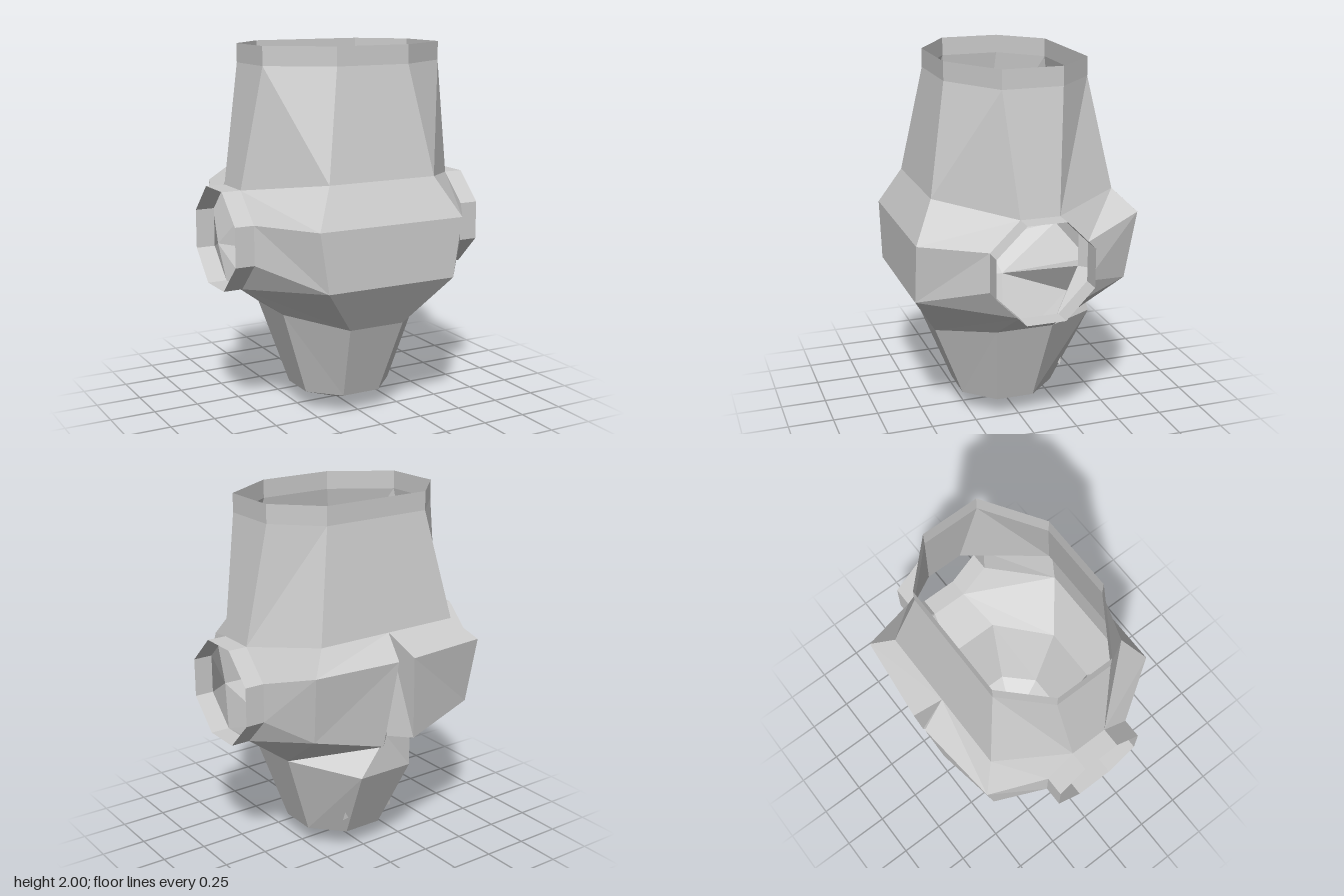
import * as THREE from 'three';

const material = new THREE.MeshStandardMaterial({ color: 0xcccccc, flatShading: true, side: THREE.DoubleSide });

// Named corners of the +x half; a name ending in "_" means the same corner moved to x = 0.
const P = {
  // brow, front panel and chin line
  A: [0.31, 1.32, 0.5], B: [0.42, 1.11, 0.61], C: [0.37, 0.79, 0.61], D: [0.16, 0.53, 0.45],
  // back edge, back plate and notch floor
  E: [0.42, 1.32, -0.45], O1: [0.525, 1.21, -0.555], I1: [0.05, 1.215, -0.605],
  I2: [0.1, 0.74, -0.55], O2: [0.5, 0.845, -0.5], N: [0, 0.74, -0.445],
  // lower body
  S1: [0.42, 0.585, 0.185], S2: [0.42, 0.585, -0.13], G: [0.16, 0.53, -0.445],
  K1: [0.11, 0.11, 0.285], K2: [0.26, 0.11, 0.13], K3: [0.26, 0.11, -0.08], K4: [0.11, 0.11, -0.24],
  tip: [0, 0, 0.02],
};

// collar corners at two heights
for (const [n, y] of [['u', 2], ['v', 1.9]]) {
  [[0.21, 0.395], [0.525, 0.19], [0.525, -0.13], [0.31, -0.345]].forEach(([x, z], i) => {
    P[n + i] = [x, y, z];
  });
}

// octagonal side opening: T = inner edge, R = outer edge, from the top front corner round the front
const octagon = [[0.13, 1.265], [0.29, 1.11], [0.29, 0.9], [0.13, 0.74],
  [-0.08, 0.74], [-0.235, 0.9], [-0.235, 1.11], [-0.08, 1.265]];
octagon.forEach(([z, y], i) => {
  P['T' + (i + 1)] = [0.63, y, z];
  P['R' + (i + 1)] = [0.735, y, z];
});

function corner(name) {
  if (!name.endsWith('_')) return P[name];
  const [, y, z] = P[name.slice(0, -1)];
  return [0, y, z];
}

// Mesh from outward-facing polygons given as corner names, on either or both sides
function mesh(name, faces, sides = [1, -1]) {
  const pos = [];
  for (const side of sides) {
    for (const face of faces) {
      const c = face.split(' ').map(corner);
      for (let i = 1; i < c.length - 1; i++) {
        const tri = side > 0 ? [c[0], c[i], c[i + 1]] : [c[0], c[i + 1], c[i]];
        for (const [x, y, z] of tri) pos.push(x * side, y, z);
      }
    }
  }
  const g = new THREE.BufferGeometry();
  g.setAttribute('position', new THREE.Float32BufferAttribute(pos, 3));
  g.computeVertexNormals();
  const m = new THREE.Mesh(g, material);
  m.name = name;
  return m;
}

// Quads between two rows of corners running front to back
function band(lower, upper) {
  const a = lower.split(' '), b = upper.split(' ');
  return a.slice(1).map((_, i) => [a[i], a[i + 1], b[i + 1], b[i]].join(' '));
}

export function createModel() {
  const group = new THREE.Group();
  group.name = 'hollowJoint';

  const top = 'u0_ u0 u1 u2 u3 u3_', rim = 'v0_ v0 v1 v2 v3 v3_';
  const brow = 'A_ A T1 T8 E E_';
  const neck = 'D_ D S1 S2 G G_', base = 'K1_ K1 K2 K3 K4 K4_';

  group.add(mesh('collar', band(rim, top)));
  group.add(mesh('upperShell', band(brow, rim)));

  // middle: front panel and the facets running to the side openings
  group.add(mesh('frontShell', [
    'B_ B A A_', 'C_ C B B_', 'D_ D C C_',
    'B T2 T1 A', 'C T3 T2 B', 'C T4 T3', 'D S1 T4 C', 'S1 S2 T5 T4',
  ]));

  // two back plates split by a notch
  group.add(mesh('backPlates', [
    'T7 E T8', 'T7 O1 E', 'T6 O2 O1 T7', 'T5 O2 T6', 'S2 O2 T5', 'S2 I2 O2',
    'O2 I2 I1 O1', 'O1 I1 E_ E', 'I2 N E_ I1', 'S2 N I2',
  ]));

  // tapered lower body with ledge and pointed end
  group.add(mesh('lowerBody', [...band(base, neck), 'S2 G N', 'G G_ N']));
  group.add(mesh('bottomPoint', ['tip K2 K1', 'tip K3 K2', 'tip K4 K3', 'tip K1 K1_', 'tip K4_ K4']
    .map((f) => (f === 'tip K1 K1_' || f === 'tip K4_ K4' ? f : f.split(' ').join(' ')))
    .map((f) => f)));

  // open octagonal side collars
  const ring = octagon.map((_, i) => {
    const a = i + 1, b = (i + 1) % 8 + 1;
    return `T${a} T${b} R${b} R${a}`;
  });
  group.add(mesh('leftSideRing', ring, [1]), mesh('rightSideRing', ring, [-1]));

  // small barbs on the lower back
  Object.assign(P, { b1: [0.06, 0.24, -0.3], b2: [0.165, 0.215, -0.28], b3: [0.15, 0.28, -0.29], b4: [0.11, 0.24, -0.26] });
  group.add(mesh('barbs', ['b1 b3 b2', 'b1 b2 b4', 'b2 b3 b4', 'b3 b1 b4']));

  return group;
}
